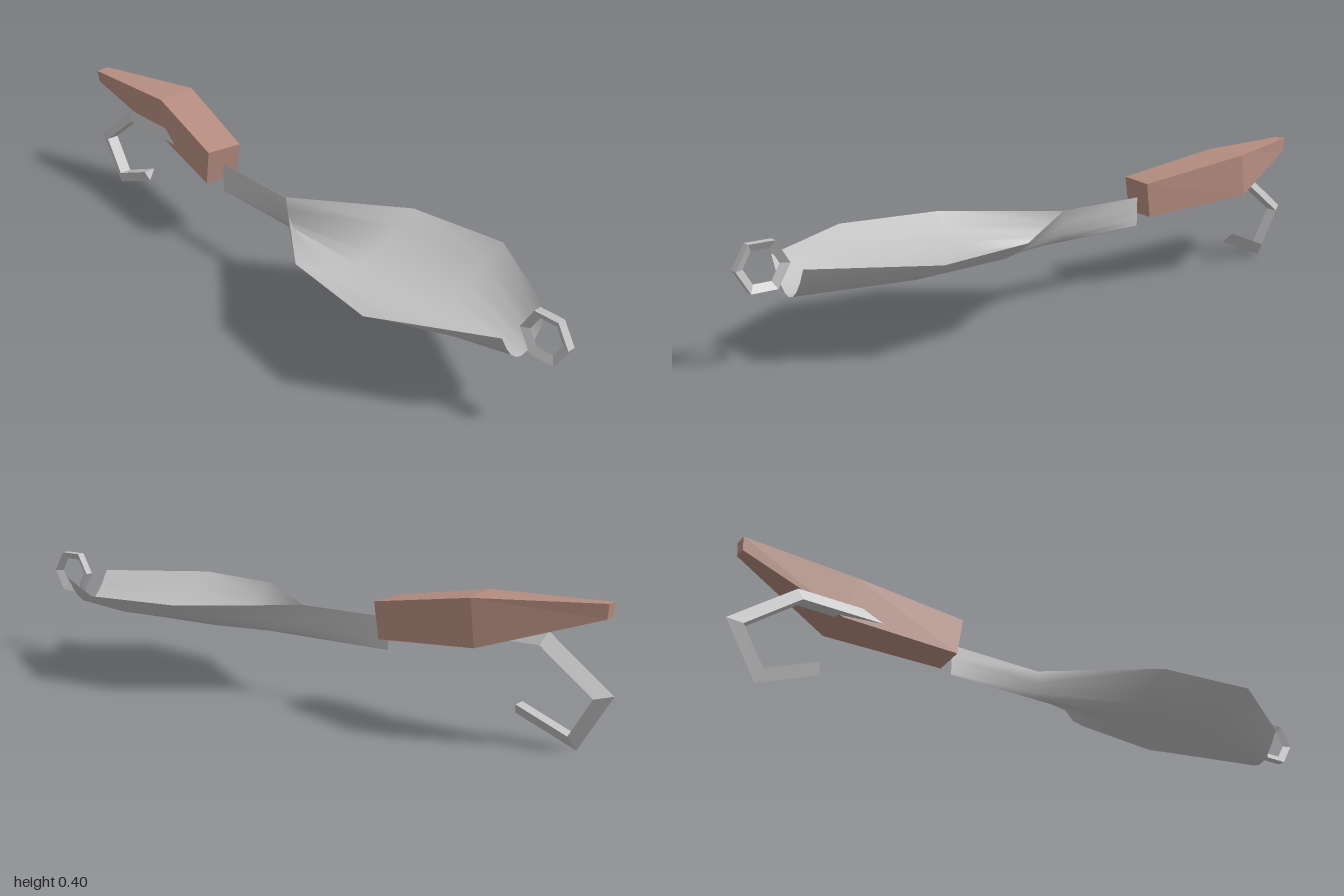
import * as THREE from 'three';

// Skin a list of equal-length cross-sections; each runs counter-clockwise about the direction of travel.
function loft(sections, { loopSection = true, loopPath = false, caps = true } = {}) {
  const n = sections[0].length, m = sections.length;
  const index = [];
  for (let i = 0; i < (loopPath ? m : m - 1); i++) {
    for (let j = 0; j < (loopSection ? n : n - 1); j++) {
      const k = (j + 1) % n, next = (i + 1) % m;
      const a = i * n + j, b = i * n + k, c = next * n + k, d = next * n + j;
      index.push(a, b, c, a, c, d);
    }
  }
  if (caps) {
    const e = (m - 1) * n;
    for (let j = 1; j < n - 1; j++) index.push(0, j + 1, j, e, e + j, e + j + 1);
  }
  const geometry = new THREE.BufferGeometry();
  geometry.setAttribute('position', new THREE.Float32BufferAttribute(sections.flat(2), 3));
  geometry.setIndex(index);
  geometry.computeVertexNormals();
  return geometry;
}

// Sweep a [z, outward] profile along a mitred path in the xy plane.
function wire(path, profile, closed = false) {
  const m = path.length;
  const normal = (i) => {
    const a = path[(i + m) % m], b = path[(i + 1 + m) % m];
    return new THREE.Vector2(b[1] - a[1], a[0] - b[0]).normalize();
  };
  const sections = path.map(([x, y], i) => {
    const before = normal(closed || i > 0 ? i - 1 : 0);
    const after = normal(closed || i < m - 1 ? i : m - 2);
    const mitre = before.clone().add(after).normalize();
    mitre.divideScalar(mitre.dot(after));
    return profile.map(([z, u]) => [x + mitre.x * u, y + mitre.y * u, z]);
  });
  return loft(sections, { loopPath: closed, caps: !closed });
}

export function createModel() {
  const steel = new THREE.MeshStandardMaterial({ color: 0xbfbfbf, side: THREE.DoubleSide });
  steel.name = 'steel';
  const wireSteel = new THREE.MeshStandardMaterial({ color: 0xbfbfbf, flatShading: true });
  wireSteel.name = 'wire steel';
  const clay = new THREE.MeshStandardMaterial({ color: 0xb58c7f, flatShading: true });
  clay.name = 'clay brown';

  const model = new THREE.Group();
  model.name = 'fishingLure';
  const add = (name, geometry, material) => {
    const mesh = new THREE.Mesh(geometry, material);
    mesh.name = name;
    model.add(mesh);
  };

  // Spoon blade: a parabolic trough that pinches into an upright strip
  const stations = [[-0.335, 0.001], [-0.04, 0.001], [0.26, 0.232], [0.56, 0.274], [0.857, 0.09]];
  const trough = stations.map(([x, halfWidth]) => {
    const section = [];
    for (let t = -1; t <= 1; t += 0.25) section.push([x, 0.186 + 0.094 * t * t, halfWidth * t]);
    return section;
  });
  add('spoonBlade', loft(trough, { loopSection: false, caps: false }), steel);

  // Bent tapering body: corners run top back, top front, bottom front, bottom back
  add('body', loft([
    [[-0.985, 0.4, -0.022], [-0.985, 0.398, 0.02], [-0.982, 0.36, 0.016], [-0.982, 0.36, -0.022]],
    [[-0.66, 0.395, -0.133], [-0.645, 0.396, 0.003], [-0.675, 0.265, -0.002], [-0.675, 0.265, -0.133]],
    [[-0.323, 0.334, -0.058], [-0.335, 0.337, 0.056], [-0.35, 0.226, 0.056], [-0.338, 0.228, -0.056]],
  ]), clay);

  // Three-sided hook, its shank set into the body
  add('hook', wire(
    [[-0.5, 0.287], [-0.81, 0.287], [-0.979, 0.155], [-0.9, 0.02], [-0.738, 0.086]],
    [[0.018, -0.017], [0.007, 0.017], [-0.022, -0.017]],
  ), wireSteel);

  // Six-sided tie ring at the tail of the blade
  const hexagon = Array.from({ length: 6 }, (_, i) => {
    const a = (i * Math.PI) / 3;
    return [0.926 + 0.062 * Math.cos(a), 0.28 + 0.062 * Math.sin(a)];
  });
  add('tieRing', wire(hexagon, [[-0.01, 0.0105], [0.003, -0.0105], [0.015, 0.0105]], true), wireSteel);

  return model;
}
